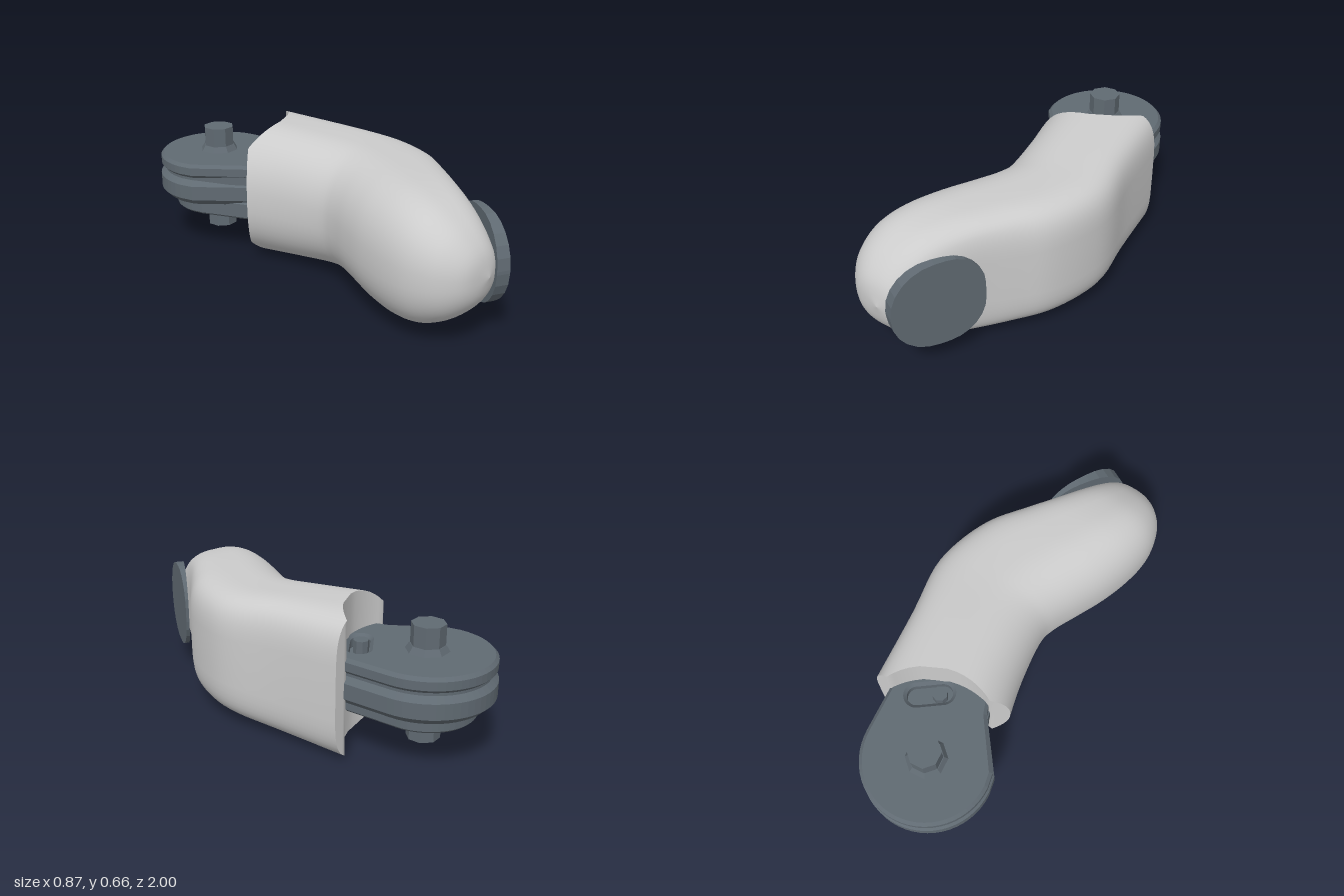
import * as THREE from 'three';

const MID_Y = 0.335;
const HUB = { x: 0.05, z: -0.7 };

const mat = (color, flatShading = false) => new THREE.MeshStandardMaterial({ color, flatShading });

function addMesh(parent, name, geometry, material) {
  const mesh = new THREE.Mesh(geometry, material);
  mesh.name = name;
  parent.add(mesh);
  return mesh;
}

function buildGeometry(positions, index) {
  const g = new THREE.BufferGeometry();
  g.setAttribute('position', new THREE.Float32BufferAttribute(positions, 3));
  g.setIndex(index);
  g.computeVertexNormals();
  return g;
}

// Bent finger shell: left edge (x, z, half height) and right edge (x, z, squareness) per station
const LEFT = [[-0.175, -0.335, 0.33], [-0.152, -0.15, 0.318], [-0.148, 0.06, 0.303], [-0.18, 0.16, 0.3],
  [-0.255, 0.28, 0.3], [-0.335, 0.41, 0.298], [-0.4, 0.55, 0.29], [-0.433, 0.67, 0.265],
  [-0.43, 0.77, 0.22], [-0.4, 0.85, 0.165], [-0.335, 0.918, 0.095], [-0.22, 0.958, 0]];
const RIGHT = [[0.408, -0.485, 4.5], [0.412, -0.15, 4.5], [0.43, 0.09, 4.3], [0.395, 0.25, 4.3],
  [0.315, 0.41, 4.3], [0.21, 0.53, 4.2], [0.1, 0.65, 4], [0.01, 0.765, 3.5],
  [-0.05, 0.85, 3], [-0.1, 0.91, 2.6], [-0.145, 0.947, 2.3], [-0.22, 0.958, 2]];

// Concave socket curve that wraps around the hub
function socketZ(x) {
  if (x < -0.1) return -0.378 + ((-0.1 - x) / 0.07) * 0.043;
  const d = x - HUB.x;
  return Math.max(-0.49, HUB.z + Math.sqrt(Math.max(0, 0.355 ** 2 - d * d)));
}

function createShell(parent, material) {
  const SIDES = 56, STEPS = 4, last = LEFT.length - 1, rings = last * STEPS;
  const curve = (pts) => new THREE.CatmullRomCurve3(pts.map((p) => new THREE.Vector3(...p)), false, 'catmullrom', 0.5);
  const left = curve(LEFT), right = curve(RIGHT);
  const pos = [], idx = [];
  for (let r = 0; r <= rings; r++) {
    const L = left.getPoint(r / rings), R = right.getPoint(r / rings), s = r / STEPS;
    // shallow recess behind the pad, fading in and out along the finger
    const recess = 0.06 * Math.sin(Math.PI * THREE.MathUtils.clamp((s - 4.5) / 5, 0, 1));
    for (let i = 0; i < SIDES; i++) {
      const t = (i / SIDES) * Math.PI * 2, c = Math.cos(t), sn = Math.sin(t);
      const e = 2 / (c > 0 ? R.z : 2.3);
      let u = Math.sign(c) * Math.abs(c) ** e;
      const v = Math.sign(sn) * Math.abs(sn) ** e;
      if (c > 0) u -= recess * Math.max(0, 1 - (v / 0.85) ** 4);
      const k = (u + 1) / 2;
      const x = L.x + (R.x - L.x) * k;
      let z = L.y + (R.y - L.y) * k;
      z += Math.max(0, 1 - s) * (socketZ(x) - (-0.335 - 0.15 * k));
      pos.push(x, MID_Y + L.z * v, z);
      if (r < rings) {
        const a = r * SIDES + i, b = r * SIDES + ((i + 1) % SIDES);
        idx.push(a, b, a + SIDES, b, b + SIDES, a + SIDES);
      }
    }
  }
  addMesh(parent, 'fingerShell', buildGeometry(pos, idx), material);

  // Concave end face joining the top and bottom halves of the first ring
  const cap = [];
  for (let i = 0; i < SIDES / 2; i++) {
    const pm = (SIDES - i) % SIDES, q = i + 1, qm = SIDES - q;
    cap.push(i, pm, q, q, pm, qm);
  }
  addMesh(parent, 'socketFace', buildGeometry(pos.slice(0, SIDES * 3), cap), material);
}

// Wedge-shaped fingertip pad with rounded ends
function createPad(parent, material) {
  const w = 0.417, b = 0.125, t = 0.54, rl = 0.2, rr = 0.17;
  const s = new THREE.Shape();
  s.moveTo(rl, b);
  s.lineTo(w - rr, b);
  s.bezierCurveTo(w - rr * 0.45, b, w, b + rr * 0.45, w, b + rr);
  s.lineTo(w, t - rr);
  s.bezierCurveTo(w, t - rr * 0.45, w - rr * 0.45, t, w - rr, t);
  s.lineTo(rl, t);
  s.bezierCurveTo(rl * 0.45, t, 0, t - rl * 0.45, 0, t - rl);
  s.lineTo(0, b + rl);
  s.bezierCurveTo(0, b + rl * 0.45, rl * 0.45, b, rl, b);
  const g = new THREE.ExtrudeGeometry(s, { depth: 1, bevelEnabled: false, curveSegments: 6 });
  const p = g.attributes.position;
  for (let i = 0; i < p.count; i++) {
    const thick = 0.06 - 0.045 * (p.getX(i) / w);
    p.setZ(i, (p.getZ(i) - 1) * thick);
  }
  g.computeVertexNormals();
  const pad = addMesh(parent, 'fingertipPad', g, material);
  pad.position.set(-0.122, 0, 1);
  pad.rotation.y = 0.965;
}

// Teardrop plate: rounded around the hub, narrowing into the socket
function hubPlate(radius, bottom, top, bevel, hole) {
  const r = radius - bevel, s = new THREE.Shape();
  s.moveTo(HUB.x + r, HUB.z);
  s.lineTo(HUB.x + r, -0.45);
  s.lineTo(0.2, -0.3);
  s.lineTo(-0.05, -0.3);
  s.lineTo(-0.1 + bevel, -0.42);
  s.lineTo(HUB.x - r * 0.97, HUB.z + 0.06);
  s.absarc(HUB.x, HUB.z, r, Math.PI, Math.PI * 2, false);
  if (hole) s.holes.push(hole);
  const g = new THREE.ExtrudeGeometry(s, {
    depth: top - bottom - 2 * bevel, bevelEnabled: bevel > 0, bevelSize: bevel,
    bevelThickness: bevel, bevelSegments: 1, curveSegments: 14,
  });
  g.rotateX(Math.PI / 2);
  g.translate(0, top - bevel, 0);
  return g;
}

// Oblong slot outline, slanted beside the socket
function slotPath() {
  const a = -0.55, r = 0.058, dx = 0.06 * Math.cos(a), dz = 0.06 * Math.sin(a);
  const path = new THREE.Path();
  path.absarc(0.17 + dx, -0.44 + dz, r, a - Math.PI / 2, a + Math.PI / 2, false);
  path.absarc(0.17 - dx, -0.44 - dz, r, a + Math.PI / 2, a + Math.PI * 1.5, false);
  return path;
}

function createKnuckle(parent, material) {
  const knuckle = new THREE.Group();
  knuckle.name = 'knuckle';
  parent.add(knuckle);
  addMesh(knuckle, 'upperPlate', hubPlate(0.295, 0.41, 0.478, 0.015, slotPath()), material);
  addMesh(knuckle, 'plateGroove', hubPlate(0.275, 0.38, 0.42, 0), material);
  addMesh(knuckle, 'middlePlate', hubPlate(0.3, 0.27, 0.4, 0.03), material);
  addMesh(knuckle, 'lowerPlate', hubPlate(0.225, 0.2, 0.29, 0.01), material);

  // Axle with a collar on each face
  const cyl = (name, rTop, rBottom, y0, y1) => {
    const m = addMesh(knuckle, name, new THREE.CylinderGeometry(rTop, rBottom, y1 - y0, 8), material);
    m.position.set(HUB.x, (y0 + y1) / 2, HUB.z);
    m.rotation.y = Math.PI / 8;
  };
  cyl('axle', 0.075, 0.075, 0.075, 0.598);
  cyl('upperCollar', 0.078, 0.1, 0.47, 0.505);
  cyl('lowerCollar', 0.1, 0.078, 0.165, 0.21);

  // Small peg standing in the slot
  const peg = addMesh(knuckle, 'slotPeg', new THREE.CylinderGeometry(0.035, 0.035, 0.06, 8), material);
  peg.position.set(0.13, 0.448, -0.42);
}

export function createModel() {
  const model = new THREE.Group();
  model.name = 'roboticFingertip';
  const dark = mat(0x606a72, true);
  createShell(model, mat(0xcccccc));
  createPad(model, dark);
  createKnuckle(model, dark);
  return model;
}
